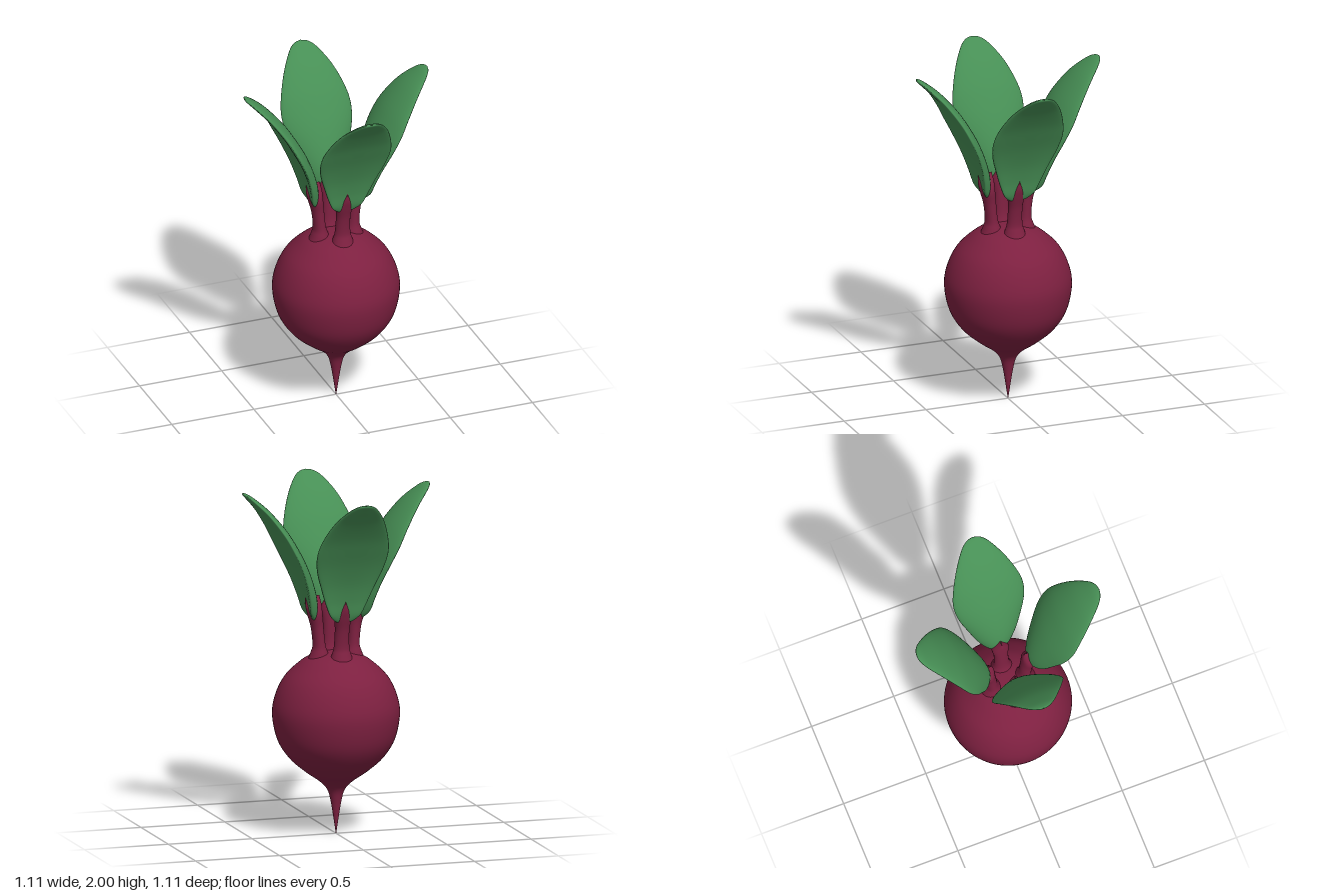
import * as THREE from 'three';

// Smooth loft of oval sections. Rows: [distance from axis, height, half width, half thickness, edge bend]
function loft(rows, steps, sides) {
  const path = new THREE.CatmullRomCurve3(
    rows.map(([r, y, w]) => new THREE.Vector3(r, y, w)), false, 'catmullrom', 0.5);
  const form = new THREE.CatmullRomCurve3(
    rows.map(([, , , h, bend = 0]) => new THREE.Vector3(h, bend, 0)), false, 'catmullrom', 0.5);
  const positions = [], index = [];
  for (let i = 0; i <= steps; i++) {
    const t = i / steps;
    const p = path.getPoint(t), f = form.getPoint(t);
    const a = path.getPoint(Math.max(0, t - 0.01)), b = path.getPoint(Math.min(1, t + 0.01));
    const tangent = new THREE.Vector2(b.x - a.x, b.y - a.y).normalize();
    for (let j = 0; j < sides; j++) {
      const angle = (j / sides) * Math.PI * 2;
      const c = Math.cos(angle);
      const out = f.x * Math.sin(angle) + f.y * c * c;
      positions.push(p.x + tangent.y * out, p.y - tangent.x * out, Math.max(p.z, 0.002) * c);
      if (i < steps) {
        const k = (j + 1) % sides, q = i * sides, n = q + sides;
        index.push(q + j, q + k, n + j, q + k, n + k, n + j);
      }
    }
  }
  const geometry = new THREE.BufferGeometry();
  geometry.setAttribute('position', new THREE.Float32BufferAttribute(positions, 3));
  geometry.setIndex(index);
  geometry.computeVertexNormals();
  return geometry;
}

export function createModel() {
  const model = new THREE.Group();
  const red = new THREE.MeshStandardMaterial({ color: 0x7d2040, side: THREE.DoubleSide });
  const green = new THREE.MeshStandardMaterial({ color: 0x478f55, side: THREE.DoubleSide });

  const add = (parent, name, geometry, material) => {
    const mesh = new THREE.Mesh(geometry, material);
    mesh.name = name;
    parent.add(mesh);
  };

  // Round root with a thin tapering tail
  const profile = new THREE.SplineCurve([
    [0.001, 0], [0.016, 0.1], [0.031, 0.19], [0.05, 0.255], [0.095, 0.305], [0.18, 0.365],
    [0.27, 0.445], [0.335, 0.55], [0.363, 0.69], [0.346, 0.8], [0.295, 0.905],
    [0.215, 0.985], [0.15, 1.027], [0.075, 1.05], [0, 1.055],
  ].map(([r, y]) => new THREE.Vector2(r, y)));
  const points = profile.getPoints(70);
  points.forEach((p) => { p.x = Math.max(p.x, 0); });
  add(model, 'root', new THREE.LatheGeometry(points, 64), red);

  // Stem: flared foot, wedge-shaped top that clasps the leaf
  const stem = loft([
    [0.1, 0.98, 0.08, 0.08], [0.1, 1.05, 0.057, 0.05], [0.102, 1.1, 0.045, 0.036],
    [0.112, 1.2, 0.042, 0.036], [0.126, 1.28, 0.05, 0.043], [0.135, 1.33, 0.032, 0.047],
    [0.142, 1.38, 0.002, 0.042],
  ], 36, 24);

  // Leaf: plump blade leaning outwards, its edges bent away from the middle
  const leaf = loft([
    [0.136, 1.247, 0.002, 0.002, 0], [0.137, 1.255, 0.05, 0.014, 0.01],
    [0.14, 1.3, 0.092, 0.026, 0.032], [0.152, 1.38, 0.125, 0.03, 0.038],
    [0.182, 1.48, 0.16, 0.03, 0.038], [0.23, 1.59, 0.198, 0.03, 0.034],
    [0.285, 1.69, 0.212, 0.029, 0.028], [0.345, 1.785, 0.193, 0.026, 0.02],
    [0.43, 1.89, 0.145, 0.021, 0.01], [0.51, 1.965, 0.085, 0.015, 0.003],
    [0.545, 1.992, 0.042, 0.009, 0], [0.555, 2.0, 0.002, 0.002, 0],
  ], 56, 32);

  // Four matching shoots around the crown
  for (let i = 0; i < 4; i++) {
    const shoot = new THREE.Group();
    shoot.name = 'shoot';
    shoot.rotation.y = (i * Math.PI) / 2;
    add(shoot, 'stem', stem, red);
    add(shoot, 'leaf', leaf, green);
    model.add(shoot);
  }
  return model;
}
